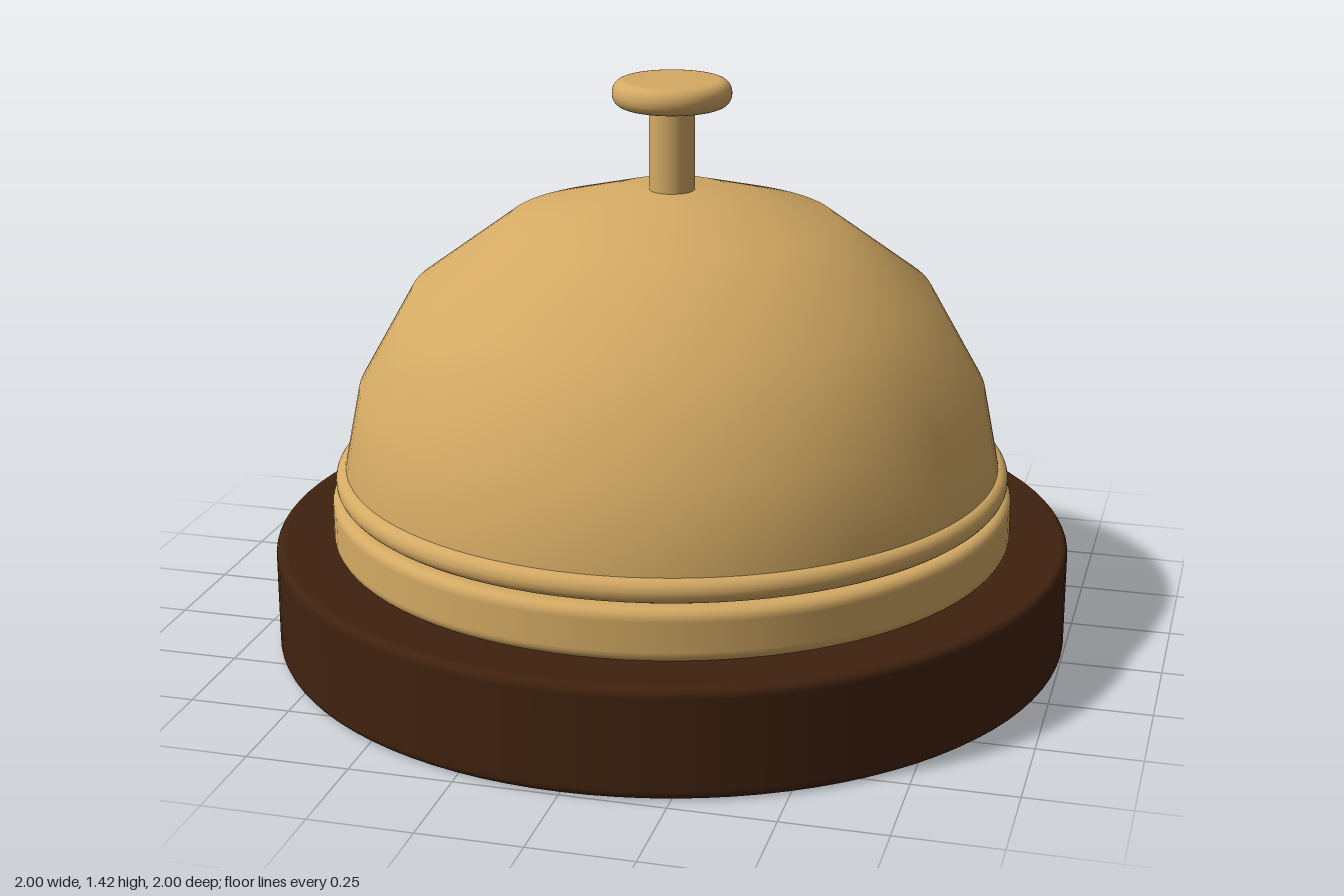
import * as THREE from 'three';

const SEGMENTS = 96;

// Outline of a solid disc with rounded edges, from bottom centre to top centre
function roundedDiscProfile(radius, y0, y1, bevel) {
  const points = [new THREE.Vector2(0, y0), new THREE.Vector2(radius - bevel - 0.004, y0)];
  const arc = (cy, start) => {
    for (let i = 0; i <= 6; i++) {
      const a = start + (i / 6) * Math.PI / 2;
      points.push(new THREE.Vector2(radius - bevel + bevel * Math.cos(a), cy + bevel * Math.sin(a)));
    }
  };
  arc(y0 + bevel, -Math.PI / 2);
  // short guard edges keep the straight wall evenly shaded
  points.push(new THREE.Vector2(radius, y0 + bevel + 0.003), new THREE.Vector2(radius, y1 - bevel - 0.003));
  arc(y1 - bevel, 0);
  points.push(new THREE.Vector2(radius - bevel - 0.004, y1), new THREE.Vector2(0, y1));
  return points;
}

export function createModel() {
  const model = new THREE.Group();
  model.name = 'deskBell';

  const wood = new THREE.MeshStandardMaterial({ color: 0x40220f });
  wood.name = 'dark wood';
  const brass = new THREE.MeshStandardMaterial({ color: 0xd4aa64 });
  brass.name = 'brass';

  const add = (name, geometry, material) => {
    const mesh = new THREE.Mesh(geometry, material);
    mesh.name = name;
    model.add(mesh);
    return mesh;
  };
  const addDisc = (name, radius, y0, y1, bevel, material) =>
    add(name, new THREE.LatheGeometry(roundedDiscProfile(radius, y0, y1, bevel), SEGMENTS), material);

  // Wooden base and the metal collar on it
  addDisc('base', 1, 0, 0.27, 0.02, wood);
  addDisc('collar', 0.855, 0.265, 0.395, 0.025, brass);

  // Bell dome in five broad bands, with smooth normals, and its rolled rim
  const dome = [[0.81, 0.39], [0.82, 0.46], [0.78, 0.66], [0.645, 0.9], [0.405, 1.076], [0.145, 1.15], [0, 1.15]];
  add('dome', new THREE.LatheGeometry(dome.map(([x, y]) => new THREE.Vector2(x, y)), SEGMENTS), brass);
  addDisc('rim', 0.845, 0.4, 0.46, 0.028, brass);

  // Plunger stem and push button
  const stem = add('stem', new THREE.CylinderGeometry(0.056, 0.056, 0.24, 48), brass);
  stem.position.y = 1.25;
  addDisc('button', 0.146, 1.357, 1.423, 0.03, brass);

  return model;
}
